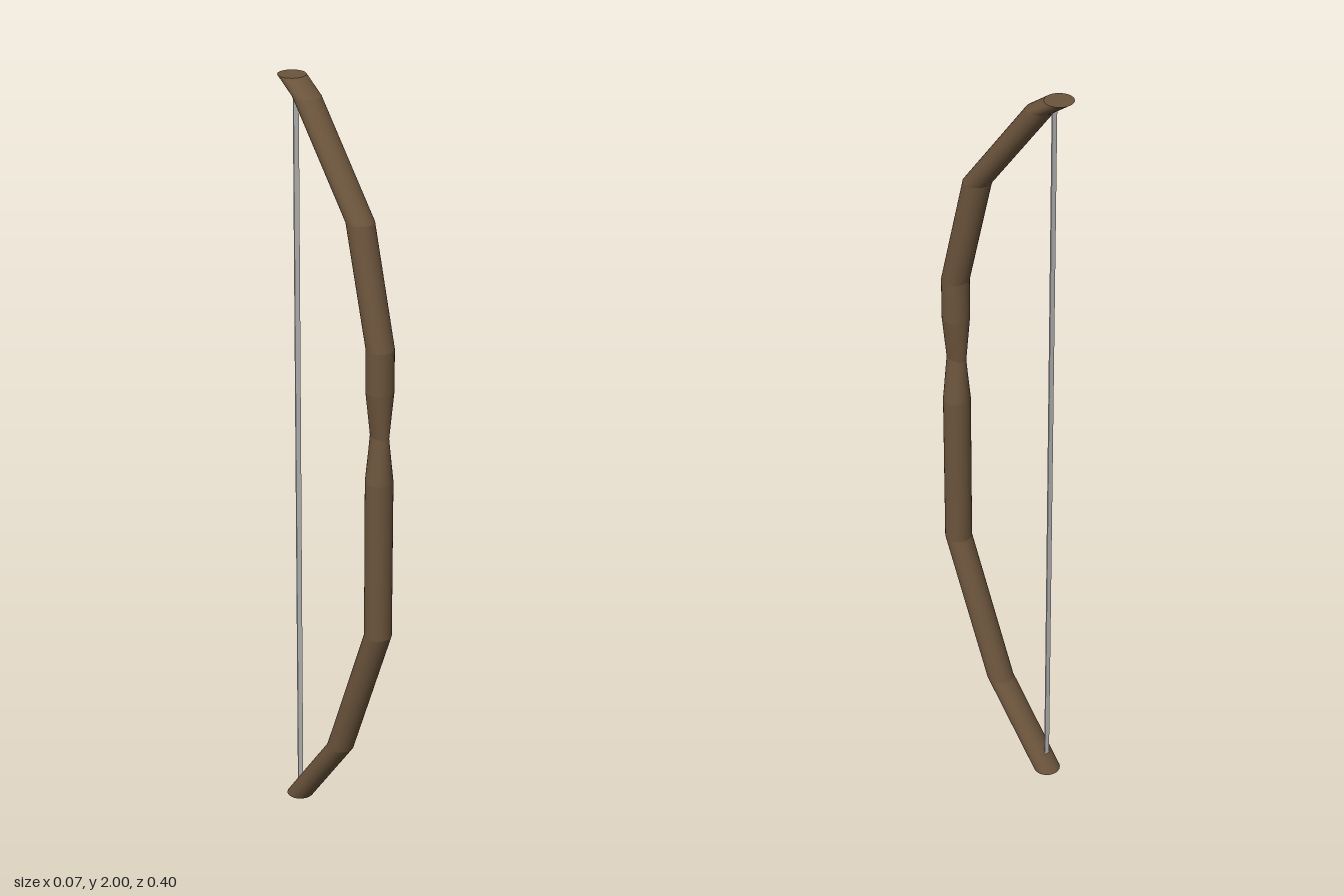
import * as THREE from 'three';
import { mergeGeometries } from 'three/addons/utils/BufferGeometryUtils.js';

// Level rings along the stave: height, z centre, x radius, z radius
const R = 0.035;
const RINGS = [
  [0, -0.15, R, R],
  [0.225, 0.017, R, R],
  [0.62, 0.163, R, R],
  [1.05, 0.163, R, R],
  [1.17, 0.163, 0.018, 0.029],
  [1.29, 0.163, R, R],
  [1.4, 0.163, R, R],
  [1.7, 0.088, R, R],
  [1.96, -0.108, R, R],
  [2, -0.163, R, R],
];

// A round section sheared between two level rings, smooth around its girth
function limbSection(a, b) {
  const g = new THREE.CylinderGeometry(1, 1, 1, 32, 1, true);
  const p = g.attributes.position;
  const n = g.attributes.normal;
  const mid = a.map((v, i) => (v + b[i]) / 2);
  const h = b[0] - a[0];
  for (let i = 0; i < p.count; i++) {
    const x = p.getX(i), z = p.getZ(i);
    const [y, cz, rx, rz] = p.getY(i) > 0 ? b : a;
    p.setXYZ(i, x * rx, y, cz + z * rz);
    // normal = girth tangent x direction along the limb
    const along = new THREE.Vector3(x * (b[2] - a[2]), h, b[1] - a[1] + z * (b[3] - a[3]));
    const around = new THREE.Vector3(z * mid[2], 0, -x * mid[3]);
    const normal = along.cross(around).normalize();
    n.setXYZ(i, normal.x, normal.y, normal.z);
  }
  return g;
}

// Flat end of the stave
function endCap([y, cz, rx], up) {
  return new THREE.CircleGeometry(rx, 32)
    .rotateX(up ? -Math.PI / 2 : Math.PI / 2)
    .translate(0, y, cz);
}

export function createModel() {
  const group = new THREE.Group();
  group.name = 'bow';

  // Wooden stave with a pinched grip
  const parts = RINGS.slice(1).map((ring, i) => limbSection(RINGS[i], ring));
  parts.push(endCap(RINGS[0], false), endCap(RINGS[RINGS.length - 1], true));
  const stave = new THREE.Mesh(
    mergeGeometries(parts),
    new THREE.MeshStandardMaterial({ color: 0x6b543c })
  );
  stave.name = 'stave';
  group.add(stave);

  // Thin flat string joining the two tips
  const string = new THREE.Mesh(
    new THREE.BoxGeometry(0.016, 1.96, 0.003),
    new THREE.MeshStandardMaterial({ color: 0xcccccc })
  );
  string.name = 'string';
  string.position.set(0, 1, -0.149);
  group.add(string);

  return group;
}
